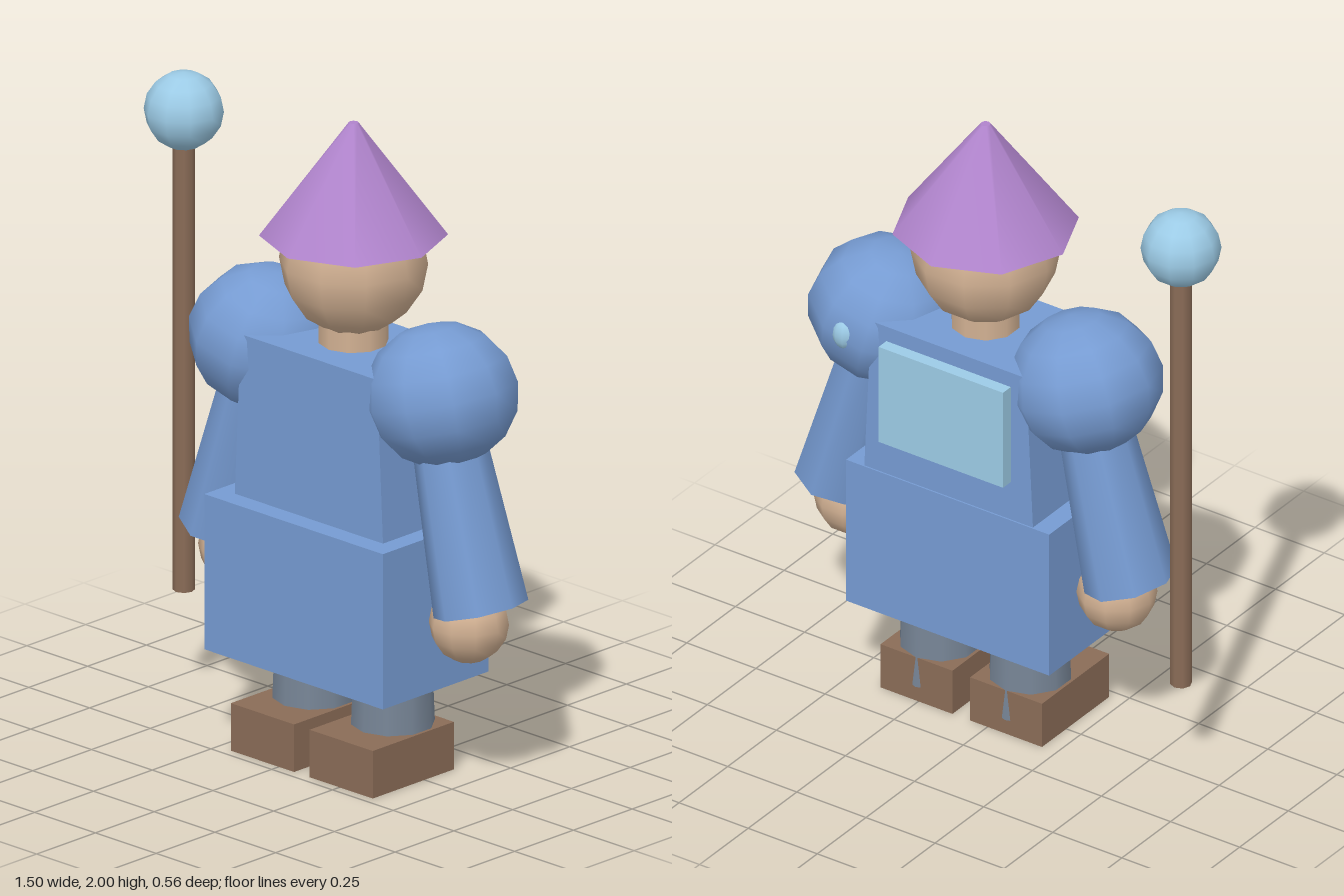
import * as THREE from 'three';

const mat = (color) => new THREE.MeshStandardMaterial({ color });
const ROBE = mat(0x769bd2), HAT = mat(0xb084cc), SKIN = mat(0xd2b193), GLASS = mat(0x9ccbe6);
const CLOTH = mat(0x778596), LEATHER = mat(0x8a6c57);

function add(parent, name, geometry, material, x = 0, y = 0, z = 0) {
  const mesh = new THREE.Mesh(geometry, material);
  mesh.name = name;
  mesh.position.set(x, y, z);
  parent.add(mesh);
  return mesh;
}

const ball = (r) => new THREE.SphereGeometry(r, 10, 8);

// Box whose top is narrowed in x
function taperedBox(w, h, d, topScale) {
  const g = new THREE.BoxGeometry(w, h, d);
  const p = g.attributes.position;
  for (let i = 0; i < p.count; i++) if (p.getY(i) > 0) p.setX(i, p.getX(i) * topScale);
  g.computeVertexNormals();
  return g;
}

export function createModel() {
  const model = new THREE.Group();
  model.name = 'robedFigure';
  const body = new THREE.Group();
  body.name = 'body';
  body.position.x = 0.095;
  model.add(body);

  // Head and hat
  add(body, 'hat', new THREE.CylinderGeometry(0.015, 0.28, 0.355, 8), HAT, 0, 1.8225, 0);
  add(body, 'head', ball(0.223), SKIN, 0, 1.565, 0);
  add(body, 'neck', new THREE.CylinderGeometry(0.105, 0.105, 0.14, 10), SKIN, 0, 1.31, 0);

  // Robe
  add(body, 'torso', taperedBox(0.61, 0.51, 0.38, 0.92), ROBE, 0, 1.055, 0);
  add(body, 'skirt', new THREE.BoxGeometry(0.735, 0.49, 0.45), ROBE, 0, 0.555, 0.03);
  add(body, 'backPanel', new THREE.BoxGeometry(0.45, 0.33, 0.05), GLASS, 0, 1.095, -0.205);

  for (const [side, s] of [['left', 1], ['right', -1]]) {
    // Arm: puffed shoulder, flared sleeve, hand
    const shoulder = add(body, side + 'Shoulder', ball(0.234), ROBE, s * 0.362, 1.235, 0);
    shoulder.rotation.z = s * 0.26;
    shoulder.scale.y = 0.93;
    const sleeve = add(body, side + 'Sleeve', new THREE.CylinderGeometry(0.096, 0.134, 0.65, 8),
      ROBE, s * 0.441, 0.914, 0);
    sleeve.rotation.z = s * 0.26;
    sleeve.scale.z = 1.13;
    add(body, side + 'Hand', ball(0.12), SKIN, s * 0.475, 0.543, 0);

    // Leg and boot
    add(body, side + 'Leg', new THREE.CylinderGeometry(0.118, 0.13, 0.3, 10), CLOTH, s * 0.162, 0.2, 0);
    add(body, side + 'Boot', new THREE.BoxGeometry(0.26, 0.15, 0.345), LEATHER, s * 0.162, 0.075, 0.0475);
  }

  // Small gem on the back of the left shoulder
  add(body, 'shoulderGem', ball(1), GLASS, 0.37, 1.24, -0.2).scale.set(0.04, 0.05, 0.032);

  // Staff with orb
  const staff = new THREE.Group();
  staff.name = 'staff';
  staff.position.set(-0.633, 0, -0.03);
  model.add(staff);
  add(staff, 'staffPole', new THREE.CylinderGeometry(0.033, 0.033, 1.45, 8), LEATHER, 0, 1.055, 0);
  add(staff, 'staffOrb', ball(0.12), GLASS, 0, 1.843, 0);

  return model;
}
